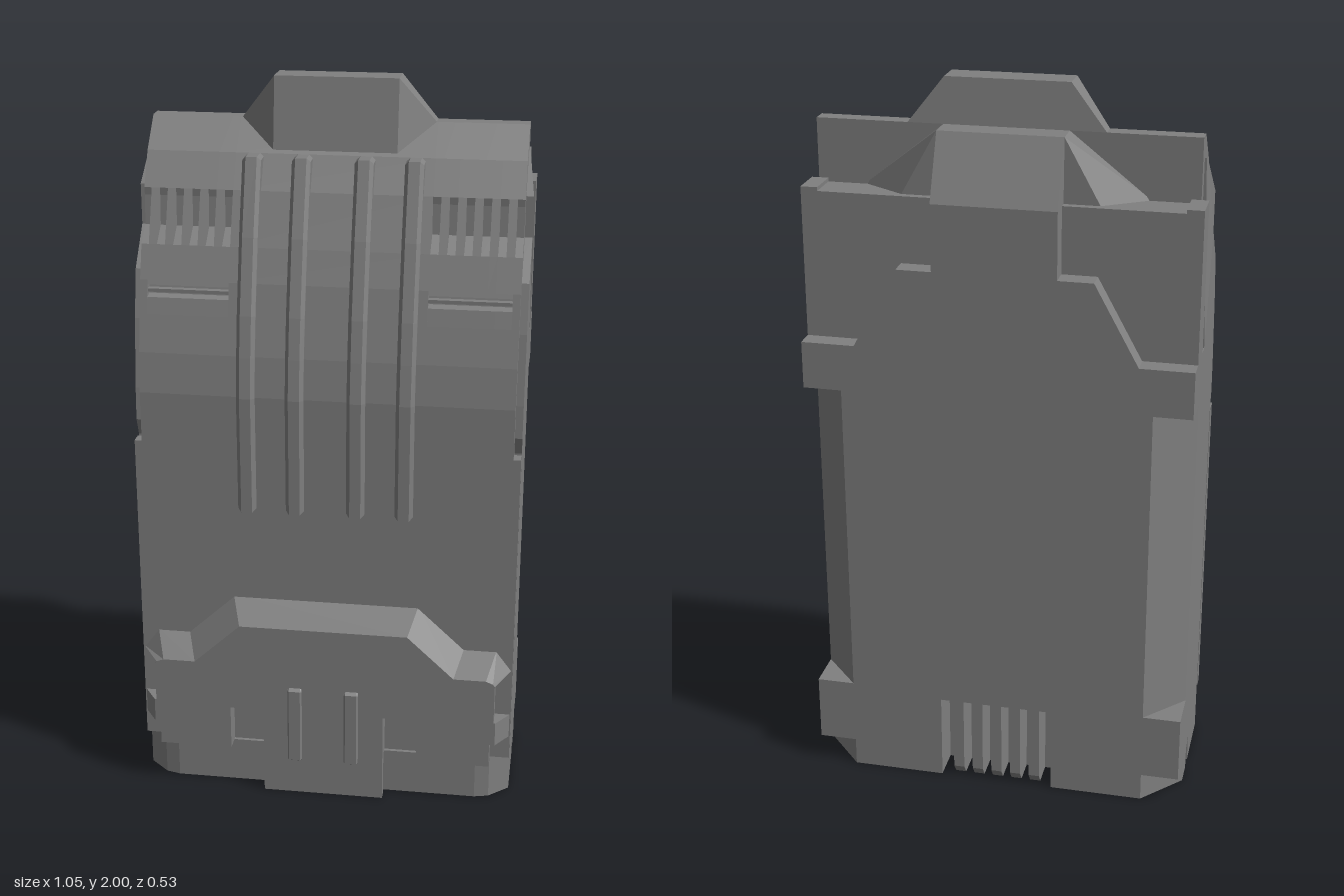
import * as THREE from 'three';
import { ConvexGeometry } from 'three/addons/geometries/ConvexGeometry.js';

export function createModel() {
  const model = new THREE.Group();
  const material = new THREE.MeshStandardMaterial({ color: 0x808080, flatShading: true });

  const add = (name, geometry) => {
    const mesh = new THREE.Mesh(geometry, material);
    mesh.name = name;
    model.add(mesh);
  };
  const shapeOf = (pts) => new THREE.Shape(pts.map(([a, b]) => new THREE.Vector2(a, b)));
  const extrude = (pts, depth, bevel = 0) => new THREE.ExtrudeGeometry(shapeOf(pts), {
    depth: depth - 2 * bevel, bevelEnabled: bevel > 0, bevelSize: bevel, bevelOffset: -bevel,
    bevelThickness: bevel, bevelSegments: 1,
  }).translate(0, 0, bevel);
  // Side profile of [z, y] points, running from x0 to x1
  const alongX = (pts, x0, x1, bevel) =>
    extrude(pts, x1 - x0, bevel).rotateY(-Math.PI / 2).translate(x1, 0, 0);
  // Plan of [x, z] points, running from y0 to y1
  const alongY = (pts, y0, y1) => extrude(pts, y1 - y0).rotateX(Math.PI / 2).translate(0, y1, 0);
  // Front outline of [x, y] points, running from z0 to z1
  const alongZ = (pts, z0, z1) => extrude(pts, z1 - z0).translate(0, 0, z0);
  const box = (x0, x1, y0, y1, z0, z1) => new THREE.BoxGeometry(x1 - x0, y1 - y0, z1 - z0)
    .translate((x0 + x1) / 2, (y0 + y1) / 2, (z0 + z1) / 2);
  // Closes a right-hand half outline with its mirror image
  const mirrored = (half) => [...half, ...half.map(([x, y]) => [-x, y]).reverse()];
  const hull = (pts) => new ConvexGeometry(pts.flatMap(([x, y, z]) =>
    [new THREE.Vector3(x, y, z), new THREE.Vector3(-x, y, z)]));
  // Calls fn with an x range on both sides
  const bothSides = (x0, x1, fn) => { fn(x0, x1); fn(-x1, -x0); };
  // Moves vertices by a rule and refreshes the normals
  const reshape = (geometry, rule) => {
    const p = geometry.attributes.position;
    for (let i = 0; i < p.count; i++) p.setXYZ(i, ...rule(p.getX(i), p.getY(i), p.getZ(i)));
    geometry.computeVertexNormals();
    return geometry;
  };

  // Core and side cheeks, with the open guide slot and the small bottom notch
  add('core', alongX([[-0.15, 0], [-0.15, 1.18], [-0.21, 1.18], [-0.21, 1.71], [-0.06, 1.71],
    [0, 1.58], [0.1, 1.4], [0.165, 1.05], [0.165, 0.13], [0.15, 0]], -0.48, 0.48));
  const cheek = [[-0.15, 0], [-0.15, 1.18], [-0.21, 1.18], [-0.21, 1.72], [-0.115, 1.72],
    [-0.115, 1.31], [-0.08, 1.31], [-0.08, 1.82], [-0.05, 1.81], [0.02, 1.71], [0.02, 1.6],
    [0.11, 1.5], [0.14, 1.37], [0.165, 1.18], [0.17, 1.09], [0.15, 1.04], [0.15, 0], [-0.04, 0],
    [-0.04, 0.08], [-0.08, 0.06], [-0.08, 0]];
  bothSides(0.48, 0.525, (a, b) => add('sideCheek', reshape(alongX(cheek, a, b),
    (x, y, z) => [y > 1.8 ? THREE.MathUtils.clamp(x, -0.51, 0.51) : x, y, z])));
  bothSides(0.47, 0.49, (a, b) => add('slotFloor', box(a, b, 1.31, 1.7, -0.115, -0.08)));

  // Back slab with chamfered corners, opened for the bottom grille
  add('backSlab', alongY(mirrored([[0.525, -0.15], [0.42, -0.265]]), 0.25, 1.18));
  add('backFoot', alongY(mirrored([[0.525, -0.15], [0.42, -0.265], [0.16, -0.265], [0.16, -0.17]]),
    0, 0.25));
  for (let i = 0; i < 5; i++) {
    const x = -0.11 + i * 0.055;
    add('grilleFin', alongX([[-0.15, 0], [-0.15, 0.25], [-0.262, 0.25], [-0.262, 0.03], [-0.24, 0]],
      x - 0.015, x + 0.015));
  }
  bothSides(0.4, 0.525, (a, b) => add('cornerBlock', box(a, b, 0.08, 0.27, -0.265, -0.14)));

  // Stepped upper back plate and the hump above it
  add('upperBackPlate', alongZ(mirrored([[0.525, 1.18], [0.525, 1.31], [0.38, 1.31], [0.26, 1.53],
    [0.165, 1.53]]), -0.265, -0.2));
  add('backHump', alongX([[-0.1, 1.88], [-0.185, 1.88], [-0.265, 1.71], [-0.265, 1.5],
    [-0.1, 1.5]], -0.165, 0.165));
  add('humpShoulders', hull([[0.165, 1.88, -0.11], [0.165, 1.88, -0.185], [0.26, 1.71, -0.19],
    [0.38, 1.71, -0.11]]));

  // Curved front shell, cut into strips so the vents and slots are true recesses
  const front = [[0.2, 1.04], [0.2, 1.18], [0.187, 1.29], [0.165, 1.39], [0.145, 1.48],
    [0.115, 1.57], [0.06, 1.71], [0.01, 1.8], [-0.07, 1.88]];
  const slot = [[0.154, 1.435], [0.13, 1.44], [0.125, 1.463], [0.149, 1.468]];
  const vent = [[0.115, 1.57], [0.064, 1.61], [0.058, 1.69], [0.06, 1.71]];
  const shellProfile = (cuts) => {
    const kept = front.filter(([, y]) =>
      !cuts.some((cut) => y >= cut[0][1] && y <= cut[3][1]));
    return [...[...kept, ...cuts.flat()].sort((a, b) => a[1] - b[1]),
      [-0.115, 1.88], [-0.115, 1.7], [-0.02, 1.53], [0.07, 1.4], [0.15, 1.04]];
  };
  add('frontShell', alongX(shellProfile([]), -0.265, 0.265));
  bothSides(0.485, 0.505, (a, b) => add('shellEdge', alongX(shellProfile([vent]), a, b)));
  const step = 0.022;
  for (let i = 0; i < 10; i++) {
    const cuts = i % 2 ? [slot] : [slot, vent];
    bothSides(0.265 + i * step, 0.265 + (i + 1) * step, (a, b) =>
      add(i % 2 ? 'ventFin' : 'ventSlot', alongX(shellProfile(cuts), a, b)));
  }
  bothSides(0.265, 0.485, (a, b) => add('slotBar', box(a, b, 1.447, 1.456, 0.12, 0.145)));

  // Long ribs that follow the shell
  const rib = [[0.215, 0.85], [0.215, 1.18], [0.2, 1.29], [0.18, 1.4], [0.127, 1.6], [0.06, 1.8],
    [0, 1.8], [0.07, 1.6], [0.12, 1.45], [0.17, 1.15], [0.17, 0.85]];
  for (const x of [-0.215, -0.083, 0.083, 0.215]) {
    add('longRib', alongX(rib, x - 0.025, x + 0.025, 0.01));
  }

  // Faceted crown
  add('crown', hull([[0.165, 2, -0.02], [0.165, 2, -0.1], [0.26, 1.88, -0.07],
    [0.26, 1.88, -0.115], [0.165, 1.81, 0.01], [0.165, 1.8, -0.1]]));

  // Flat lower front and the chamfered foot beneath it
  add('lowerFront', box(-0.525, 0.525, 0.13, 1.04, 0.163, 0.2));
  add('frontFoot', alongY(mirrored([[0.525, 0.15], [0.47, 0.2], [0.43, 0.21]]), 0, 0.13));

  // Raised pad with side lugs; its upper edge slopes back to the lower front
  const pad = alongZ(mirrored([[0.17, 0.13], [0.17, 0.26], [0.265, 0.26], [0.265, 0.13],
    [0.47, 0.13], [0.47, 0.2], [0.525, 0.2], [0.525, 0.27], [0.48, 0.27], [0.48, 0.385],
    [0.525, 0.41], [0.48, 0.47], [0.39, 0.47], [0.26, 0.59]]), 0.195, 0.255);
  add('frontPad', reshape(pad, (x, y, z) => {
    if (z < 0.25) return [x, y, z];
    if (y > 0.4) return [Math.sign(x) * Math.min(Math.abs(x) - 0.025, 0.475), Math.max(y - 0.07, 0.392), z];
    return [Math.abs(x) > 0.5 ? Math.sign(x) * 0.485 : x, y, z];
  }));
  // Hanging tongue, clear of the foot
  add('padTongue', box(-0.17, 0.17, 0, 0.13, 0.228, 0.255));
  bothSides(0.06, 0.1, (a, b) => add('padRib',
    alongX([[0.25, 0.1], [0.265, 0.11], [0.265, 0.33], [0.25, 0.34]], a, b, 0.004)));

  return model;
}
